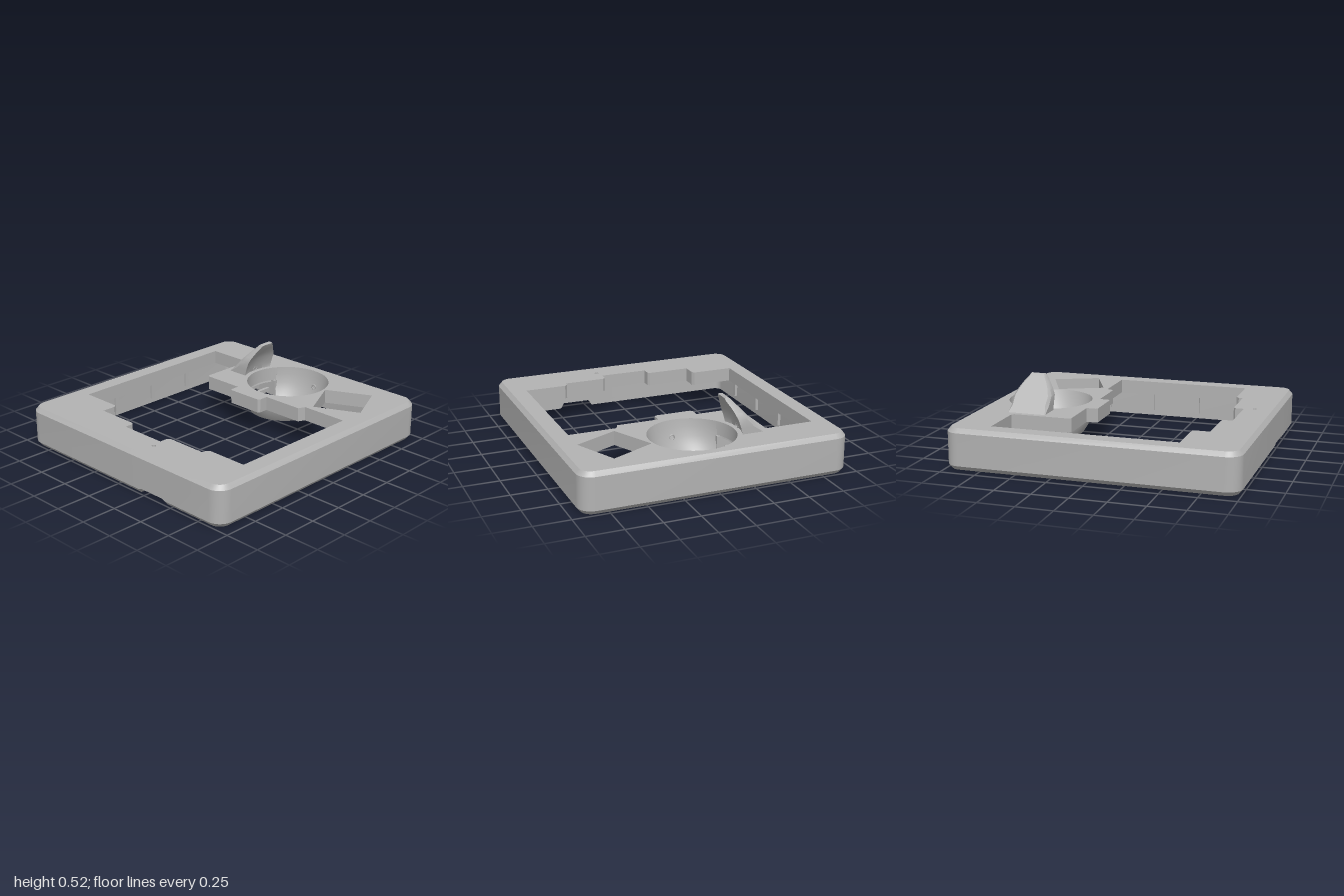
import * as THREE from 'three';
import { toCreasedNormals } from 'three/addons/utils/BufferGeometryUtils.js';

const HX = 0.94, HZ = 1, TOP = 0.285, PLATE = 0.1, BOWL_Z = -0.62;

// Skin closed rings of points into one surface
function loft(rings, crease = 0.5) {
  const n = rings[0].length, index = [];
  for (let i = 0; i < rings.length - 1; i++) {
    for (let j = 0; j < n; j++) {
      const a = i * n + j, b = i * n + (j + 1) % n;
      index.push(a, a + n, b, b, a + n, b + n);
    }
  }
  const g = new THREE.BufferGeometry().setFromPoints(rings.flat());
  g.setIndex(index);
  return toCreasedNormals(g, crease);
}

// Rounded rectangle at a given inset and height, raised at the front notch
function frameRing(inset, y) {
  const r = 0.1 - inset, cx = HX - 0.1, cz = HZ - 0.1, pts = [];
  [[1, 1], [-1, 1], [-1, -1], [1, -1]].forEach(([sx, sz], k) => {
    for (let i = 0; i <= 6; i++) {
      const a = (k + i / 6) * Math.PI / 2;
      pts.push(new THREE.Vector3(sx * cx + r * Math.cos(a), y, sz * cz + r * Math.sin(a)));
    }
    if (k === 0) {
      for (const [x, lift] of [[0.45, 0], [0.425, 0.04], [0.225, 0.04], [0.2, 0]]) {
        const flush = y < lift && inset < 0.05;
        pts.push(new THREE.Vector3(x, Math.max(y, lift), HZ - (flush ? 0 : inset)));
      }
    }
  });
  return pts;
}

const toPath = (pts) => pts.map(([x, z]) => new THREE.Vector2(x, -z));

function circleHole(x, z, r) {
  const p = new THREE.Path();
  p.absarc(x, -z, r, 0, Math.PI * 2, true);
  return p;
}

export function createModel() {
  const group = new THREE.Group();
  const grey = new THREE.MeshStandardMaterial({ color: 0xb3b3b3, side: THREE.DoubleSide });
  grey.name = 'plain grey';
  const add = (name, geometry, x = 0, y = 0, z = 0) => {
    const m = new THREE.Mesh(geometry, grey);
    m.name = name;
    m.position.set(x, y, z);
    group.add(m);
    return m;
  };

  // Outer walls with chamfered rims
  add('outerWall', loft([[0.05, 0.2], [0.05, 0], [0.025, 0], [0, 0.03], [0, 0.255], [0.025, TOP]]
    .map(([inset, y]) => frameRing(inset, y))));

  // Top plate with the large stepped window, bowl hole, tilted window and pin hole
  const plate = new THREE.Shape(frameRing(0.025, TOP).map((p) => new THREE.Vector2(p.x, -p.z)));
  plate.holes.push(
    new THREE.Path(toPath([
      [-0.805, -0.71], [-0.475, -0.71], [-0.46, -0.695], [-0.46, -0.295], [-0.445, -0.28],
      [-0.145, -0.28], [-0.145, -0.215], [-0.13, -0.2], [0.125, -0.2], [0.14, -0.215],
      [0.14, -0.28], [0.44, -0.28], [0.46, -0.33], [0.8, -0.33], [0.8, 0.65],
      [0.505, 0.65], [0.485, 0.67], [0.485, 0.7], [0.19, 0.7], [0.17, 0.715], [0.17, 0.775],
      [-0.175, 0.775], [-0.175, 0.715], [-0.19, 0.7], [-0.495, 0.7], [-0.495, 0.6],
      [-0.51, 0.58], [-0.805, 0.58]])),
    new THREE.Path(toPath([[0.66, -0.83], [0.8, -0.52], [0.495, -0.375], [0.35, -0.68]])),
    circleHole(0.04, BOWL_Z, 0.3),
    circleHole(0.19, 0.85, 0.015));
  const plateGeo = new THREE.ExtrudeGeometry(plate, { depth: PLATE, bevelEnabled: false, curveSegments: 48 });
  plateGeo.rotateX(-Math.PI / 2);
  add('topPlate', toCreasedNormals(plateGeo, 0.5), 0, TOP - PLATE, 0);

  // Open-bottomed bowl leaning sideways, with a gap under the hood
  const profile = [[0.22, 0.06], [0.25, 0.06], [0.28, 0.11], [0.3, 0.17], [0.31, 0.25], [0.3, TOP],
    [0.292, 0.23], [0.275, 0.165], [0.25, 0.105], [0.22, 0.06]].map(([r, y]) => new THREE.Vector2(r, y));
  const gap = 0.57, start = -Math.PI / 2 + gap, sweep = 2 * Math.PI - 2 * gap;
  const lean = (g) => {
    const p = g.attributes.position;
    for (let i = 0; i < p.count; i++) p.setX(i, p.getX(i) + 0.04 * (p.getY(i) - 0.06) / 0.225);
    return toCreasedNormals(g, 0.5);
  };
  add('bowl', lean(new THREE.LatheGeometry(profile, 56, start, sweep)), 0, 0, BOWL_Z);
  for (const phi of [start, start + sweep]) {
    const cap = new THREE.ShapeGeometry(new THREE.Shape(profile));
    cap.rotateY(phi - Math.PI / 2);
    add('bowlEnd', lean(cap), 0, 0, BOWL_Z);
  }

  // Hood: height, outer x, inner x, half width
  const hoodRings = [
    [0.17, -0.41, -0.235, 0.1375], [0.285, -0.42, -0.265, 0.1375], [0.33, -0.378, -0.253, 0.1375],
    [0.39, -0.323, -0.232, 0.1375], [0.43, -0.286, -0.215, 0.118], [0.47, -0.25, -0.195, 0.092],
    [0.505, -0.218, -0.174, 0.064], [0.518, -0.206, -0.17, 0.056], [0.525, -0.198, -0.182, 0.05],
  ].map(([y, xo, xi, w]) => {
    const dip = Math.min(0.03 * (w / 0.1375) ** 2, (xi - xo) * 0.35);
    const c = y < 0.3 ? 0.004 : Math.min(0.03, (xi - xo) * 0.3);
    return [[xi, -w], [xi - dip * 0.75, -w / 2], [xi - dip, 0], [xi - dip * 0.75, w / 2], [xi, w],
      [xo + c, w], [xo, w - c * 0.6], [xo, c * 0.6 - w], [xo + c, -w]]
      .map(([x, z]) => new THREE.Vector3(x, y, z));
  });
  const closeRing = (ring) => {
    const mid = ring.reduce((s, p) => s.add(p), new THREE.Vector3()).divideScalar(ring.length);
    return ring.map(() => mid.clone());
  };
  add('hood', loft([closeRing(hoodRings[0]), ...hoodRings, closeRing(hoodRings.at(-1))]), 0, 0, BOWL_Z);

  // Bracket beneath the hood
  for (const s of [-1, 1]) add('hoodCheek', new THREE.BoxGeometry(0.19, 0.12, 0.025), -0.3, 0.125, BOWL_Z + s * 0.14);
  for (const x of [-0.38, -0.27]) add('hoodCrossbar', new THREE.BoxGeometry(0.025, 0.03, 0.28), x, 0.1, BOWL_Z);

  // Small sockets on the bowl and hood
  const socket = (x, y, z, rx, rz) => add('socket',
    new THREE.TorusGeometry(0.018, 0.005, 6, 16).rotateX(rx).rotateY(rz), x, y, z);
  socket(0.07, 0.17, BOWL_Z - 0.268, 0, 0);
  socket(0.07, 0.17, BOWL_Z + 0.268, 0, 0);
  socket(-0.29, 0.3, BOWL_Z, 0, Math.PI / 2);

  // Ribs and snap lips on the inside of the walls
  for (const s of [-1, 1]) {
    for (const z of [0.62, 0.26, -0.1, -0.46]) {
      add('wallRib', new THREE.BoxGeometry(0.025, 0.15, 0.03), s * (HX - 0.058), 0.115, z);
    }
    for (const x of [-0.72, 0.68]) {
      add('snapLip', new THREE.BoxGeometry(0.15, 0.03, 0.02), x, 0.07, s * (HZ - 0.055));
    }
  }
  return group;
}
